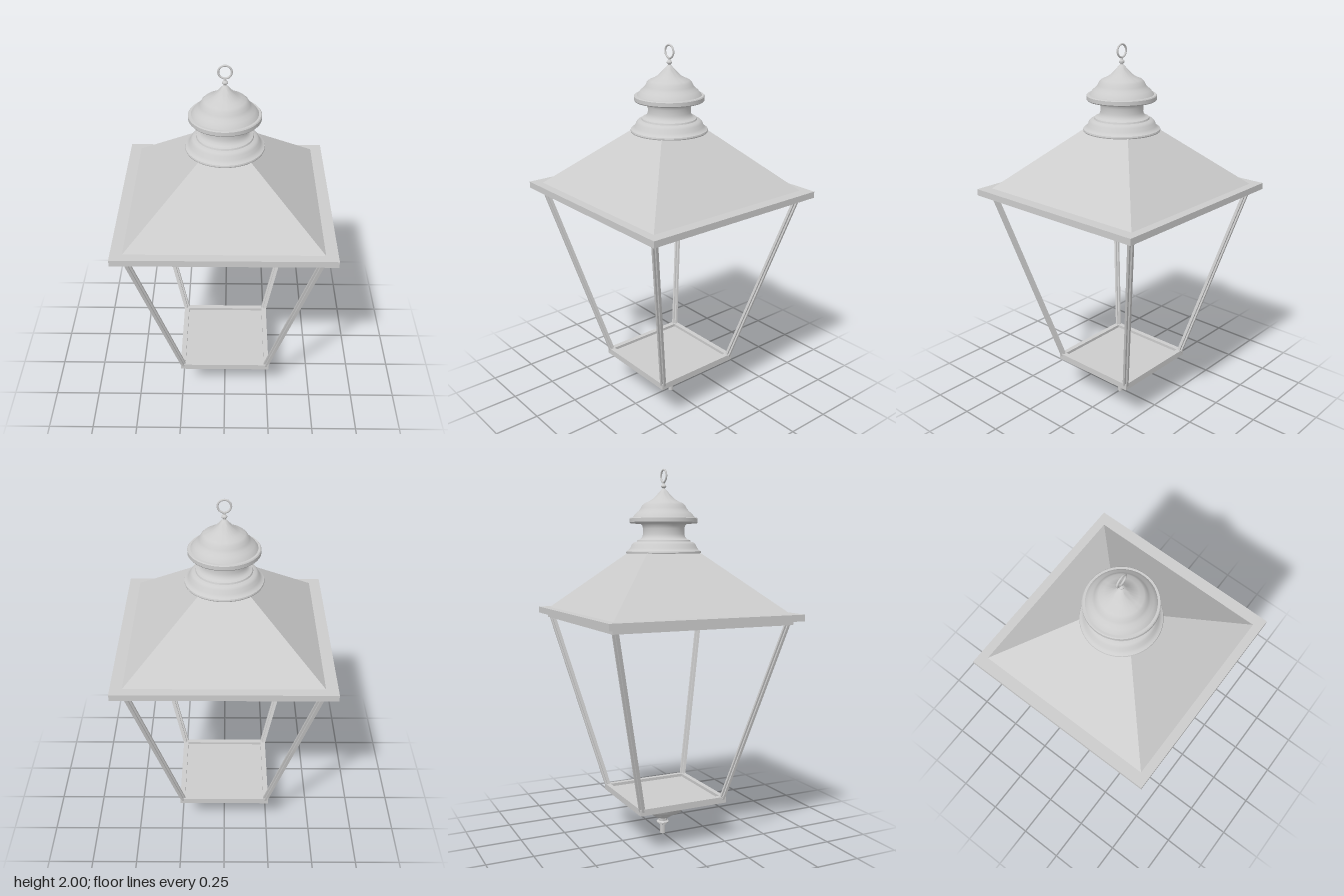
import * as THREE from 'three';
import { toCreasedNormals } from 'three/addons/utils/BufferGeometryUtils.js';

export function createModel() {
  const model = new THREE.Group();
  const grey = new THREE.MeshStandardMaterial({ color: 0xcccccc });

  const add = (name, geometry, parent = model) => {
    const mesh = new THREE.Mesh(geometry, grey);
    mesh.name = name;
    parent.add(mesh);
    return mesh;
  };

  // Box given by half sizes and its bottom and top heights
  const slab = (hx, hz, y0, y1) =>
    new THREE.BoxGeometry(hx * 2, y1 - y0, hz * 2).translate(0, (y0 + y1) / 2, 0);

  // Square frame with a hole, lying flat
  const frame = (outer, inner, y0, y1) => {
    const square = (Type, h) => new Type([[-h, -h], [h, -h], [h, h], [-h, h]]
      .map(([x, y]) => new THREE.Vector2(x, y)));
    const shape = square(THREE.Shape, outer);
    shape.holes.push(square(THREE.Path, inner));
    return new THREE.ExtrudeGeometry(shape, { depth: y1 - y0, bevelEnabled: false })
      .rotateX(-Math.PI / 2).translate(0, y0, 0);
  };

  // Turned part: smooth curves, sharp rims
  const turned = (profile, segments = 64) => toCreasedNormals(
    new THREE.LatheGeometry(profile.map(([r, y]) => new THREE.Vector2(r, y)), segments), 0.6);

  // Roof: wide eaves, a tapered pyramid and a lip below
  const roof = new THREE.Group();
  roof.name = 'roof';
  model.add(roof);
  add('eaves', slab(0.543, 0.532, 1.222, 1.256), roof);
  const slopes = slab(0.49, 0.492, 1.25, 1.58);
  const p = slopes.attributes.position;
  for (let i = 0; i < p.count; i++) {
    if (p.getY(i) > 1.4) p.setXYZ(i, Math.sign(p.getX(i)) * 0.108, 1.58, Math.sign(p.getZ(i)) * 0.135);
  }
  slopes.computeVertexNormals();
  add('roofSlopes', slopes, roof);
  add('upperFrame', frame(0.495, 0.465, 1.2, 1.224), roof);

  // Base tray: floor plate inside a raised rim
  const base = new THREE.Group();
  base.name = 'base';
  model.add(base);
  add('floor', slab(0.235, 0.235, 0.221, 0.238), base);
  add('lowerFrame', frame(0.253, 0.226, 0.22, 0.254), base);

  // Four leaning corner posts with a stepped section
  const posts = new THREE.Group();
  posts.name = 'cornerPosts';
  model.add(posts);
  const w = 0.016, n = 0.006;
  const section = new THREE.Shape([
    [-n, -w], [n, -w], [n, -n], [w, -n], [w, n], [n, n],
    [n, w], [-n, w], [-n, n], [-w, n], [-w, -n], [-n, -n],
  ].map(([x, y]) => new THREE.Vector2(x, y)));
  const y0 = 0.23, y1 = 1.215, low = 0.235, high = 0.476;
  for (const sx of [-1, 1]) {
    for (const sz of [-1, 1]) {
      const post = new THREE.ExtrudeGeometry(section, { depth: y1 - y0, bevelEnabled: false })
        .rotateX(-Math.PI / 2);
      const q = post.attributes.position;
      for (let i = 0; i < q.count; i++) {
        const y = q.getY(i);
        const out = low + (high - low) * y / (y1 - y0);
        q.setXYZ(i, q.getX(i) + sx * out, y + y0, q.getZ(i) + sz * out);
      }
      post.computeVertexNormals();
      add('cornerPost', post, posts);
    }
  }

  // Chimney cap: flared skirt, neck and domed lid
  add('chimneyCap', turned([
    [0, 1.56], [0.198, 1.56], [0.2, 1.565], [0.198, 1.572], [0.188, 1.577], [0.178, 1.588],
    [0.17, 1.606], [0.16, 1.617], [0.143, 1.622], [0.14, 1.63], [0.124, 1.635], [0.115, 1.645],
    [0.11, 1.66], [0.11, 1.69], [0.113, 1.705], [0.122, 1.715], [0.13, 1.718],
    [0.176, 1.718], [0.18, 1.723], [0.18, 1.742], [0.176, 1.747], [0.165, 1.747], [0.16, 1.755],
    [0.147, 1.77], [0.132, 1.782], [0.122, 1.795], [0.114, 1.811], [0.102, 1.822], [0.08, 1.831],
    [0.06, 1.843], [0.042, 1.86], [0.025, 1.878], [0.01, 1.895], [0, 1.898],
  ]));

  // Hanging knob and ring
  add('ringKnob', turned([
    [0.008, 1.89], [0.007, 1.9], [0.013, 1.905], [0.014, 1.911], [0.01, 1.917],
    [0.006, 1.921], [0.005, 1.931], [0, 1.932],
  ], 20));
  add('hangingRing', new THREE.TorusGeometry(0.032, 0.005, 10, 40).translate(0, 1.963, 0));

  // Turned drop under the base
  add('lowerFinial', turned([
    [0, 0], [0.014, 0], [0.014, 0.05], [0.022, 0.054], [0.022, 0.06], [0.033, 0.063],
    [0.034, 0.069], [0.024, 0.075], [0.025, 0.092], [0.04, 0.097], [0.055, 0.108], [0.064, 0.122],
    [0.078, 0.127], [0.102, 0.132], [0.113, 0.142], [0.12, 0.157], [0.128, 0.17],
    [0.142, 0.181], [0.152, 0.187], [0.158, 0.199], [0.178, 0.207], [0.182, 0.213],
    [0.18, 0.221], [0, 0.221],
  ])).position.x = 0.013;

  return model;
}
